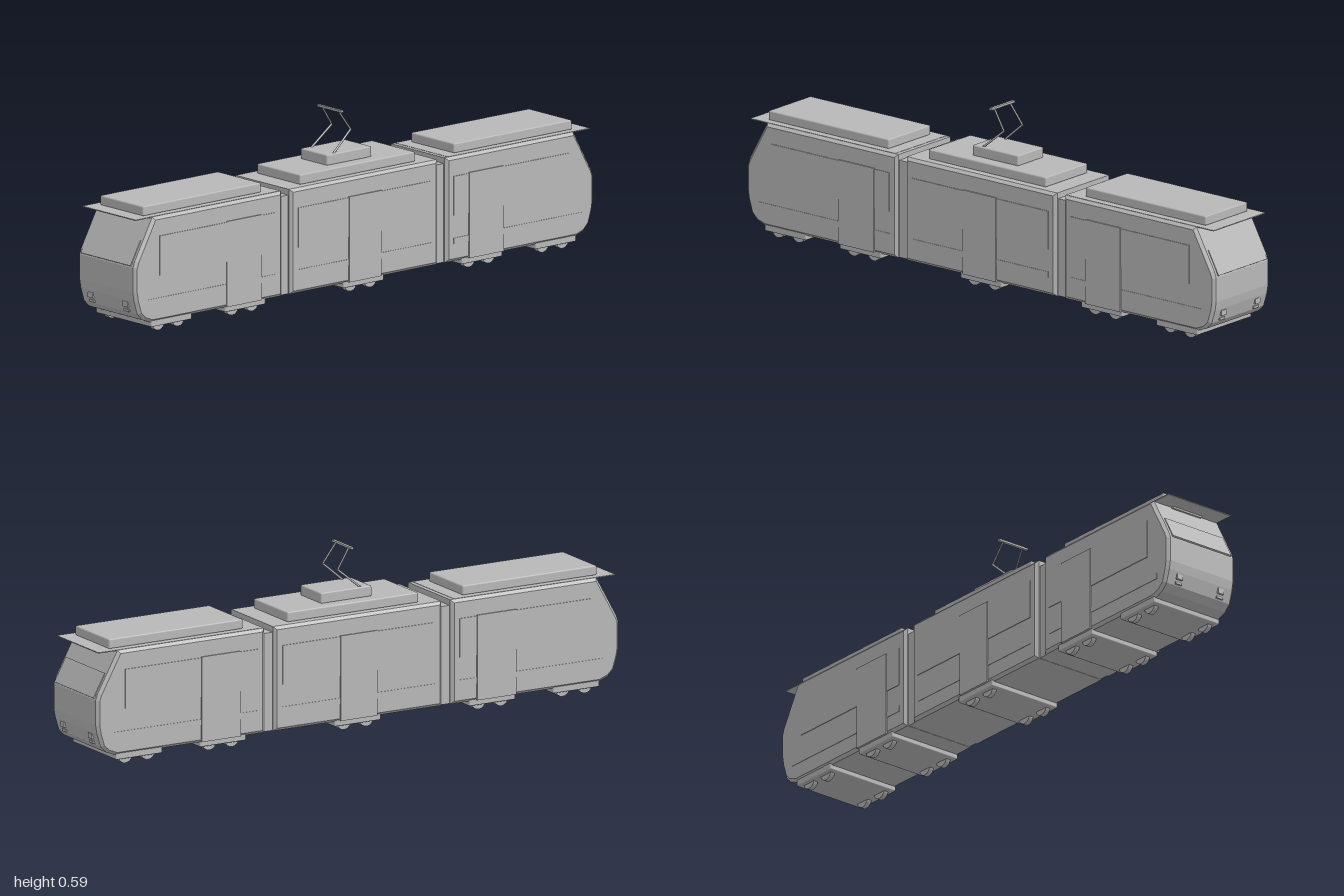
import * as THREE from 'three';
import { RoundedBoxGeometry } from 'three/addons/geometries/RoundedBoxGeometry.js';

export function createModel() {
  const tram = new THREE.Group();
  tram.name = 'tram';
  const grey = new THREE.MeshStandardMaterial({ color: 0xb8b8b8 });
  grey.name = 'plain grey';

  const add = (parent, name, geometry, x = 0, y = 0, z = 0) => {
    const mesh = new THREE.Mesh(geometry, grey);
    mesh.name = name;
    mesh.position.set(x, y, z);
    parent.add(mesh);
    return mesh;
  };
  // box given by its limits, optionally with softened edges
  const box = (parent, name, x0, x1, y0, y1, z0, z1, r = 0) => {
    const size = [x1 - x0, y1 - y0, z1 - z0];
    const geometry = r ? new RoundedBoxGeometry(...size, 1, r) : new THREE.BoxGeometry(...size);
    return add(parent, name, geometry, (x0 + x1) / 2, (y0 + y1) / 2, (z0 + z1) / 2);
  };
  // side profile extruded across the car, with chamfered edges
  const body = (parent, points) => {
    const bevel = 0.01, depth = 0.264;
    const geometry = new THREE.ExtrudeGeometry(
      new THREE.Shape(points.map(([x, y]) => new THREE.Vector2(x, y))),
      { depth, bevelSize: bevel, bevelThickness: bevel, bevelOffset: -bevel, bevelSegments: 1 });
    geometry.translate(0, 0, -depth / 2);
    add(parent, 'body', geometry);
  };
  const rod = (parent, name, a, b, radius) => {
    const from = new THREE.Vector3(...a), dir = new THREE.Vector3(...b).sub(from);
    const mesh = add(parent, name, new THREE.CylinderGeometry(radius, radius, dir.length(), 8));
    mesh.position.copy(from).addScaledVector(dir, 0.5);
    mesh.quaternion.setFromUnitVectors(new THREE.Vector3(0, 1, 0), dir.normalize());
  };
  // thin panels on both flanks
  const panels = (parent, name, x0, x1, y0, y1, out) => {
    box(parent, name, x0, x1, y0, y1, 0.139, out);
    box(parent, name, x0, x1, y0, y1, -out, -0.139);
  };
  const bogie = (parent, x) => {
    const group = new THREE.Group();
    group.name = 'bogie';
    parent.add(group);
    box(group, 'bogieFrame', x - 0.088, x + 0.088, 0.019, 0.042, -0.138, 0.138, 0.004);
    for (const dx of [-0.043, 0.043]) for (const z of [-0.113, 0.113]) {
      add(group, 'wheel', new THREE.CylinderGeometry(0.027, 0.027, 0.017, 20).rotateX(Math.PI / 2), x + dx, 0.027, z);
    }
  };

  // end cars: the same layout, reflected by s
  for (const s of [-1, 1]) {
    const car = new THREE.Group();
    car.name = s < 0 ? 'rightCar' : 'leftCar';
    tram.add(car);
    const span = (a, b) => [Math.min(s * a, s * b), Math.max(s * a, s * b)];

    const profile = [
      [0.355, 0.035], [0.92, 0.035], [0.955, 0.048], [0.977, 0.07], [0.991, 0.115],
      [0.996, 0.145], [0.996, 0.228], [0.988, 0.25], [0.912, 0.387], [0.355, 0.387],
    ].map(([x, y]) => [s * x, y]);
    body(car, s > 0 ? profile : profile.reverse());

    // roof sheet overhanging the sloped nose, equipment case above
    box(car, 'roofSheet', ...span(0.37, 0.985), 0.385, 0.388, -0.132, 0.132);
    box(car, 'roofCase', ...span(0.418, 0.93), 0.387, 0.42, -0.107, 0.107, 0.005);
    box(car, 'destinationSign', ...span(0.905, 0.924), 0.379, 0.386, -0.06, 0.06);

    // windscreen lying on the slope
    const screen = add(car, 'windscreen', new THREE.BoxGeometry(0.006, 0.09, 0.246), s * 0.975, 0.273, 0);
    screen.rotation.z = s * Math.atan2(0.076, 0.137);

    // lamps
    for (const z of [-0.0865, 0.0865]) {
      box(car, 'headlamp', ...span(0.978, 0.991), 0.09, 0.108, z - 0.012, z + 0.012);
      box(car, 'tailLamp', ...span(0.972, 0.985), 0.074, 0.082, z - 0.0125, z + 0.0125);
    }

    // flank details
    panels(car, 'windowBand', ...span(0.385, 0.89), 0.19, 0.322, 0.1445);
    panels(car, 'door', ...span(0.45, 0.6), 0.038, 0.325, 0.1465);
    panels(car, 'stripe', ...span(0.385, 0.94), 0.095, 0.115, 0.1435);

    bogie(car, s * 0.833);
    bogie(car, s * 0.513);

    // flexible gangway to the middle car
    box(tram, 'gangway', ...span(0.315, 0.36), 0.036, 0.367, -0.128, 0.128);
  }

  // middle car
  const middle = new THREE.Group();
  middle.name = 'middleCar';
  tram.add(middle);
  body(middle, [[-0.32, 0.035], [0.32, 0.035], [0.32, 0.387], [-0.32, 0.387]]);
  box(middle, 'roofCase', -0.25, 0.25, 0.386, 0.42, -0.107, 0.107, 0.005);
  box(middle, 'pantographBase', -0.097, 0.097, 0.418, 0.455, -0.066, 0.066, 0.005);
  panels(middle, 'windowBand', -0.29, 0.29, 0.19, 0.322, 0.1445);
  panels(middle, 'door', -0.07, 0.07, 0.038, 0.325, 0.1465);
  panels(middle, 'stripe', -0.29, 0.29, 0.095, 0.115, 0.1435);
  bogie(middle, 0);

  // pantograph
  const pantograph = new THREE.Group();
  pantograph.name = 'pantograph';
  tram.add(pantograph);
  for (const s of [-1, 1]) {
    rod(pantograph, 'lowerArm', [-0.06, 0.452, s * 0.055], [0.022, 0.52, s * 0.047], 0.0035);
    rod(pantograph, 'upperArm', [0.022, 0.52, s * 0.047], [-0.025, 0.588, s * 0.04], 0.003);
  }
  box(pantograph, 'contactBar', -0.03, -0.02, 0.585, 0.592, -0.06, 0.06);

  return tram;
}
